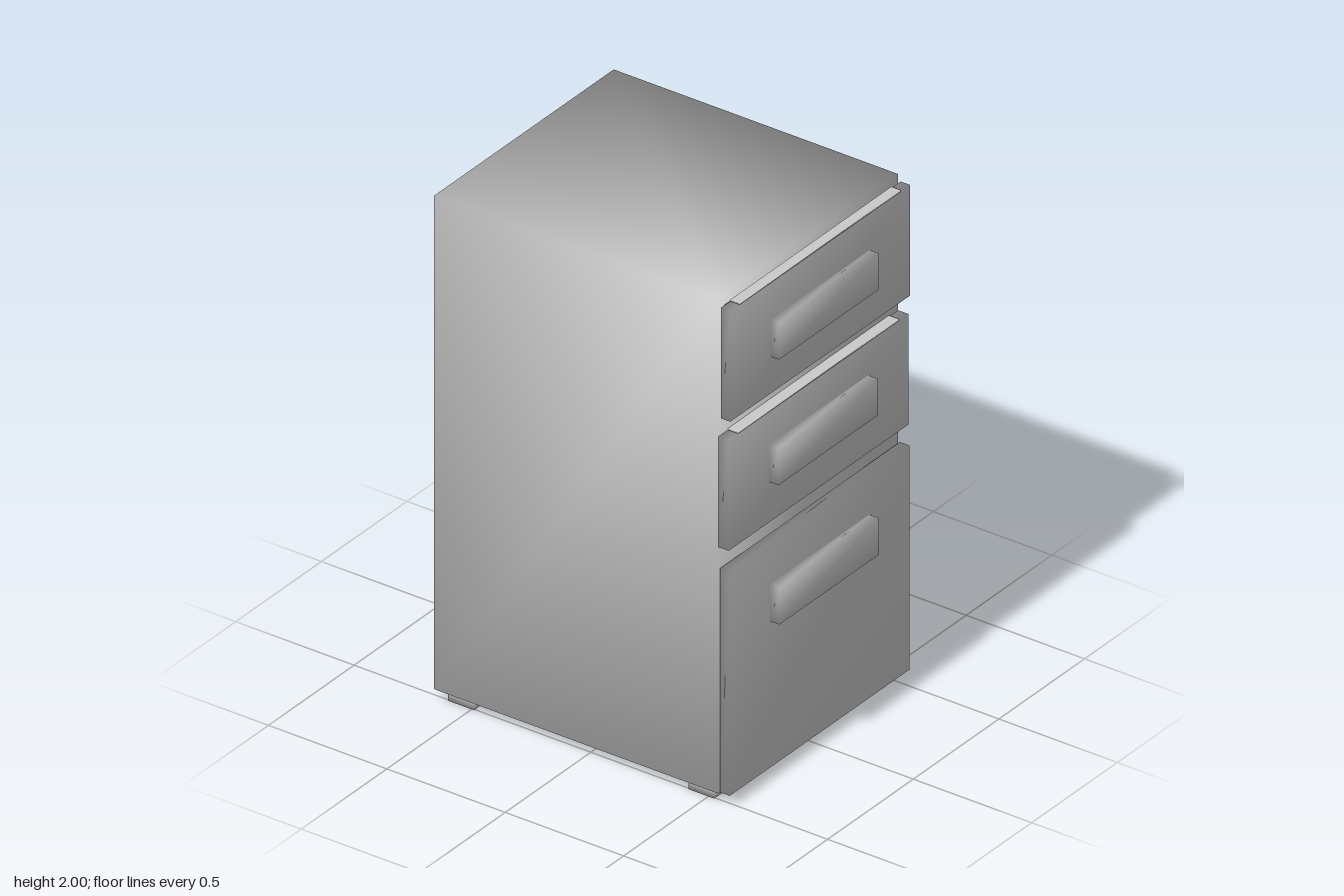
import * as THREE from 'three';
import { mergeVertices } from 'three/addons/utils/BufferGeometryUtils.js';

const material = new THREE.MeshStandardMaterial({ color: 0xcccccc });

// Box given by its limits, with welded corners for soft shading across the edges
function softBox(name, [x0, x1], [y0, y1], [z0, z1]) {
  const box = new THREE.BoxGeometry(x1 - x0, y1 - y0, z1 - z0);
  box.deleteAttribute('normal');
  box.deleteAttribute('uv');
  const geometry = mergeVertices(box);
  geometry.computeVertexNormals();
  const mesh = new THREE.Mesh(geometry, material);
  mesh.name = name;
  mesh.position.set((x0 + x1) / 2, (y0 + y1) / 2, (z0 + z1) / 2);
  return mesh;
}

// Drawer front with its handle, top lip and, where it stands proud, two runners behind
function createDrawer({ name, bottom, top, back, front, handleY, handleFront, lip, runners }) {
  const drawer = new THREE.Group();
  drawer.name = name;
  drawer.add(
    softBox('drawerFront', [-0.525, 0.525], [bottom, top], [back, front]),
    softBox('handle', [-0.29, 0.29], [handleY - 0.073, handleY + 0.073], [front, handleFront])
  );
  if (lip) drawer.add(softBox('topLip', [-0.47, 0.47], [top, top + 0.006], [back, front]));
  if (runners) {
    for (const side of [-1, 1]) {
      const x = side * 0.47;
      drawer.add(softBox('runner', [x - 0.02, x + 0.02], [bottom + 0.015, top - 0.01], [0.555, back]));
    }
  }
  return drawer;
}

export function createModel() {
  const cabinet = new THREE.Group();
  cabinet.name = 'drawerCabinet';

  // Carcass
  cabinet.add(softBox('body', [-0.525, 0.525], [0.04, 2], [-0.645, 0.555]));

  // Two shallow drawers over a deep one
  const drawers = [
    { name: 'topDrawer', bottom: 1.535, top: 1.974, back: 0.567, front: 0.607, handleY: 1.755, handleFront: 0.643, lip: true, runners: true },
    { name: 'middleDrawer', bottom: 1.02, top: 1.459, back: 0.557, front: 0.6, handleY: 1.255, handleFront: 0.64, lip: true, runners: false },
    { name: 'bottomDrawer', bottom: 0.048, top: 0.938, back: 0.564, front: 0.605, handleY: 0.703, handleFront: 0.645, lip: false, runners: true },
  ];
  for (const drawer of drawers) cabinet.add(createDrawer(drawer));

  // Feet
  for (const x of [-0.45, 0.45]) {
    for (const z of [-0.545, 0.47]) {
      cabinet.add(softBox('foot', [x - 0.055, x + 0.055], [0, 0.045], [z - 0.055, z + 0.055]));
    }
  }
  return cabinet;
}
